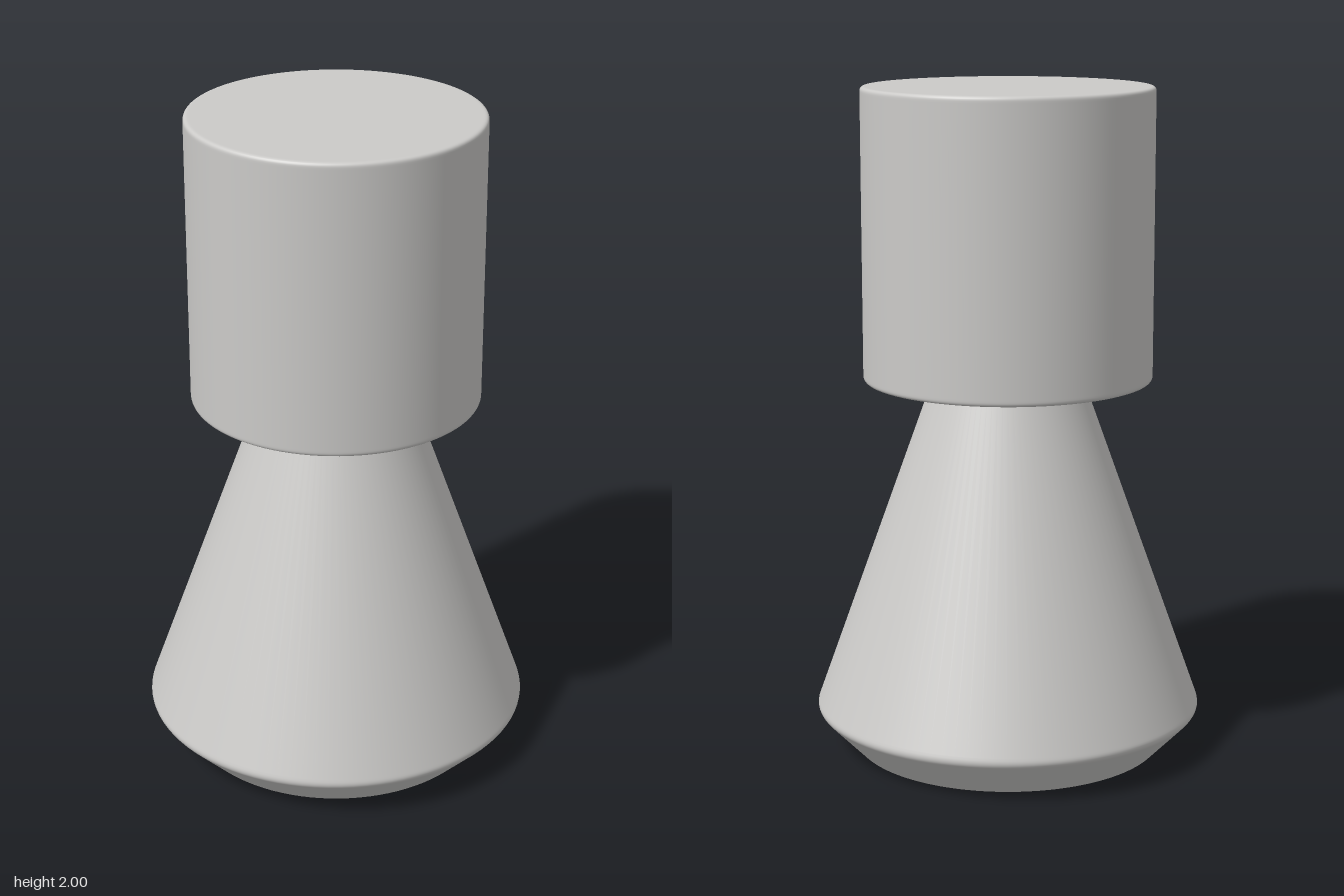
import * as THREE from 'three';

const V = (x, y) => new THREE.Vector2(x, y);

// Lathe profile from corners [radius, y, fillet]; extra points beside each fillet keep the walls evenly shaded
function roundedProfile(corners) {
  const points = [];
  corners.forEach(([x, y, fillet], i) => {
    const c = V(x, y);
    if (!fillet) { points.push(c); return; }
    const toward = (j, d) => {
      const n = V(corners[j][0], corners[j][1]);
      return c.clone().add(n.sub(c).normalize().multiplyScalar(d));
    };
    points.push(toward(i - 1, fillet * 1.4));
    points.push(...new THREE.QuadraticBezierCurve(toward(i - 1, fillet), c, toward(i + 1, fillet)).getPoints(6));
    points.push(toward(i + 1, fillet * 1.4));
  });
  return points;
}

export function createModel() {
  const group = new THREE.Group();
  group.name = 'peg';
  const grey = new THREE.MeshStandardMaterial({ color: 0xcbcac8 });
  grey.name = 'light grey';

  const addTurned = (name, corners) => {
    const mesh = new THREE.Mesh(new THREE.LatheGeometry(roundedProfile(corners), 96), grey);
    mesh.name = name;
    group.add(mesh);
  };

  // Flared conical body with a chamfered foot, running up into the head
  addTurned('body', [
    [0, 0, 0],
    [0.465, 0, 0.003],
    [0.586, 0.124, 0.016],
    [0.222, 1.14, 0],
  ]);

  // Cylindrical head with softened rims
  addTurned('head', [
    [0, 1.132, 0],
    [0.432, 1.132, 0.014],
    [0.432, 2, 0.014],
    [0, 2, 0],
  ]);

  return group;
}
